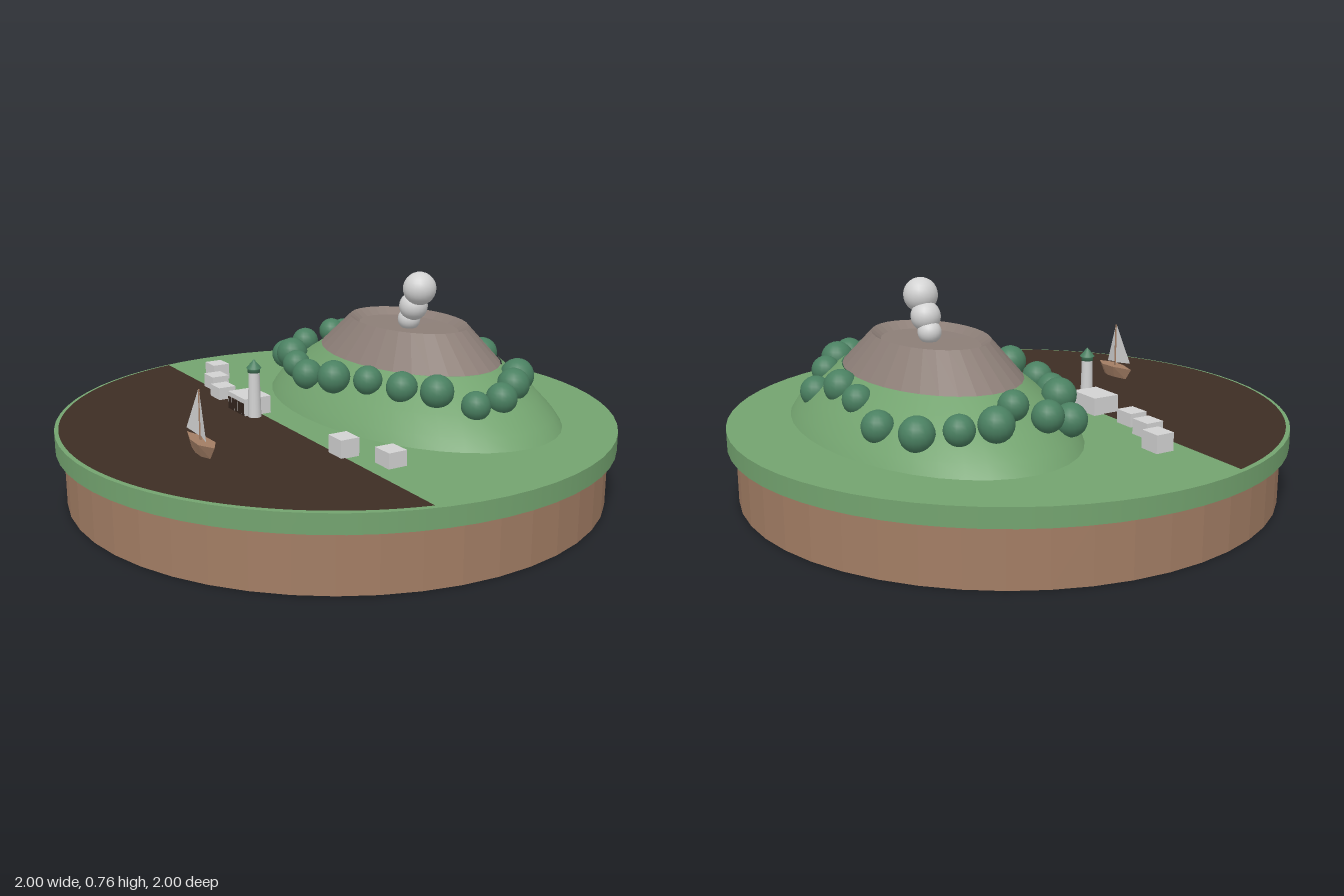
import * as THREE from 'three';

const mat = (name, color, side = THREE.FrontSide) => {
  const m = new THREE.MeshStandardMaterial({ color, side });
  m.name = name;
  return m;
};

export function createModel() {
  const island = new THREE.Group();
  island.name = 'volcanicIsland';
  const earth = mat('earth brown', 0xa27d64);
  const grass = mat('grass green', 0x73a36f);
  const sea = mat('dark sea', 0x3d2d24, THREE.DoubleSide);
  const rock = mat('rock grey', 0x8c7e77);
  const leaf = mat('tree green', 0x4a8061);
  const pale = mat('pale grey', 0xd2d2d2, THREE.DoubleSide);
  const dark = mat('window dark', 0x33241d);
  const GROUND = 0.265, TURN = -0.363; // coast direction

  const add = (name, geo, material, x = 0, y = 0, z = 0, ry = 0, parent = island) => {
    const m = new THREE.Mesh(geo, material);
    m.name = name;
    m.position.set(x, y, z);
    m.rotation.y = ry;
    parent.add(m);
    return m;
  };
  const flat = (geo) => {
    const g = geo.toNonIndexed();
    g.computeVertexNormals();
    return g;
  };
  const v2 = (list) => list.map(([x, y]) => new THREE.Vector2(x, y));

  // Round plinth and turf disc
  add('plinth', flat(new THREE.CylinderGeometry(0.97, 0.97, 0.2, 48)), earth, 0, 0.1);
  add('turf', new THREE.CylinderGeometry(1, 1, 0.065, 64), grass, 0, 0.2325);

  // Sea covering the segment in front of the coast
  const bay = new THREE.Shape();
  bay.absarc(0, 0, 0.985, 3.035, 5.655, false);
  bay.closePath();
  add('sea', new THREE.ShapeGeometry(bay, 48).rotateX(-Math.PI / 2), sea, 0, GROUND + 0.002);

  // Elliptical volcano: green slopes, rocky cone and shallow crater
  const oval = (profile, n) => new THREE.LatheGeometry(v2(profile), n).scale(1, 1, 0.65);
  add('greenSlope', oval([[0.69, GROUND], [0.655, 0.305], [0.585, 0.36], [0.505, 0.41], [0.425, 0.456]], 40),
    grass, 0.125, 0, -0.283, TURN);
  add('rockCone', flat(oval([[0.425, 0.456], [0.28, 0.575], [0.235, 0.55], [0, 0.548]], 32)),
    rock, 0.12, 0, -0.283, TURN);

  // Smoke puffs
  [[0.13, 0.58, -0.275, 0.042], [0.153, 0.632, -0.268, 0.053], [0.187, 0.702, -0.255, 0.061]]
    .forEach(([x, y, z, r]) => add('smokePuff', new THREE.SphereGeometry(r, 20, 14), pale, x, y, z));

  // Ring of round trees on the slope
  const trees = [
    [-0.325, 0.40, -0.655], [-0.185, 0.37, -0.69], [-0.025, 0.365, -0.695], [0.14, 0.41, -0.62],
    [0.28, 0.42, -0.56], [0.455, 0.365, -0.515], [0.525, 0.41, -0.4], [0.575, 0.43, -0.295],
    [0.615, 0.425, -0.195], [0.635, 0.405, -0.08], [0.59, 0.39, 0.01], [0.46, 0.425, 0.045],
    [0.335, 0.425, 0.07], [0.2, 0.43, 0.08], [0.055, 0.42, 0.085], [-0.105, 0.395, 0.035],
    [-0.235, 0.395, -0.06], [-0.335, 0.405, -0.155], [-0.455, 0.365, -0.26], [-0.445, 0.4, -0.37],
    [-0.37, 0.44, -0.45], [-0.395, 0.41, -0.565],
  ];
  trees.forEach(([x, y, z], i) =>
    add('tree', new THREE.SphereGeometry(0.05 + 0.01 * ((i * 7) % 10) / 9, 18, 12), leaf, x, y, z));

  // Coastal houses
  [[-0.675, -0.085, 0.062], [-0.57, 0.03, 0.054], [-0.455, 0.115, 0.048], [0.32, 0.375, 0.062], [0.495, 0.362, 0.052]]
    .forEach(([x, z, h]) => add('house', new THREE.BoxGeometry(0.078, h, 0.068), pale, x, GROUND + h / 2, z, TURN));

  // Harbour hall with an arcade of dark openings facing the sea
  const hall = new THREE.Group();
  hall.name = 'harbourHall';
  hall.position.set(-0.257, GROUND, 0.186);
  hall.rotation.y = TURN;
  island.add(hall);
  add('hallBody', new THREE.BoxGeometry(0.136, 0.064, 0.104), pale, 0, 0.032, 0, 0, hall);
  for (let i = 0; i < 5; i++)
    add('archOpening', new THREE.BoxGeometry(0.018, 0.046, 0.004), dark, -0.052 + i * 0.026, 0.024, 0.053, 0, hall);

  // Lighthouse
  add('towerShaft', new THREE.CylinderGeometry(0.02, 0.024, 0.165, 16), pale, -0.185, GROUND + 0.0825, 0.237);
  add('towerCap', new THREE.LatheGeometry(v2([[0, 0.425], [0.022, 0.43], [0.022, 0.442], [0.027, 0.446], [0, 0.478]]), 16),
    leaf, -0.185, 0, 0.237);

  // Sailing boat
  const boat = new THREE.Group();
  boat.name = 'sailingBoat';
  boat.position.set(-0.047, GROUND + 0.003, 0.652);
  boat.rotation.y = TURN;
  island.add(boat);
  const deck = new THREE.Shape(v2([[-0.105, 0], [-0.02, -0.027], [0.05, -0.03], [0.105, 0], [0.05, 0.03], [-0.02, 0.027]]));
  const hull = new THREE.ExtrudeGeometry(deck, { depth: 0.045, bevelEnabled: false }).rotateX(-Math.PI / 2);
  const p = hull.attributes.position;
  for (let i = 0; i < p.count; i++) // narrow the keel
    if (p.getY(i) < 0.01) p.setXYZ(i, p.getX(i) * 0.68, p.getY(i), p.getZ(i) * 0.5);
  hull.computeVertexNormals();
  add('hull', hull, earth, 0, 0, 0, 0, boat);
  add('mast', new THREE.CylinderGeometry(0.003, 0.004, 0.175, 8), earth, 0, 0.125, 0, 0, boat);
  add('mainSail', new THREE.ShapeGeometry(new THREE.Shape(v2([[-0.004, 0.212], [-0.085, 0.066], [-0.004, 0.057]]))),
    pale, 0, 0, 0, 0.12, boat);
  add('jib', new THREE.ShapeGeometry(new THREE.Shape(v2([[0.004, 0.205], [0.004, 0.06], [0.06, 0.052]]))),
    pale, 0, 0, 0, -0.12, boat);

  return island;
}
